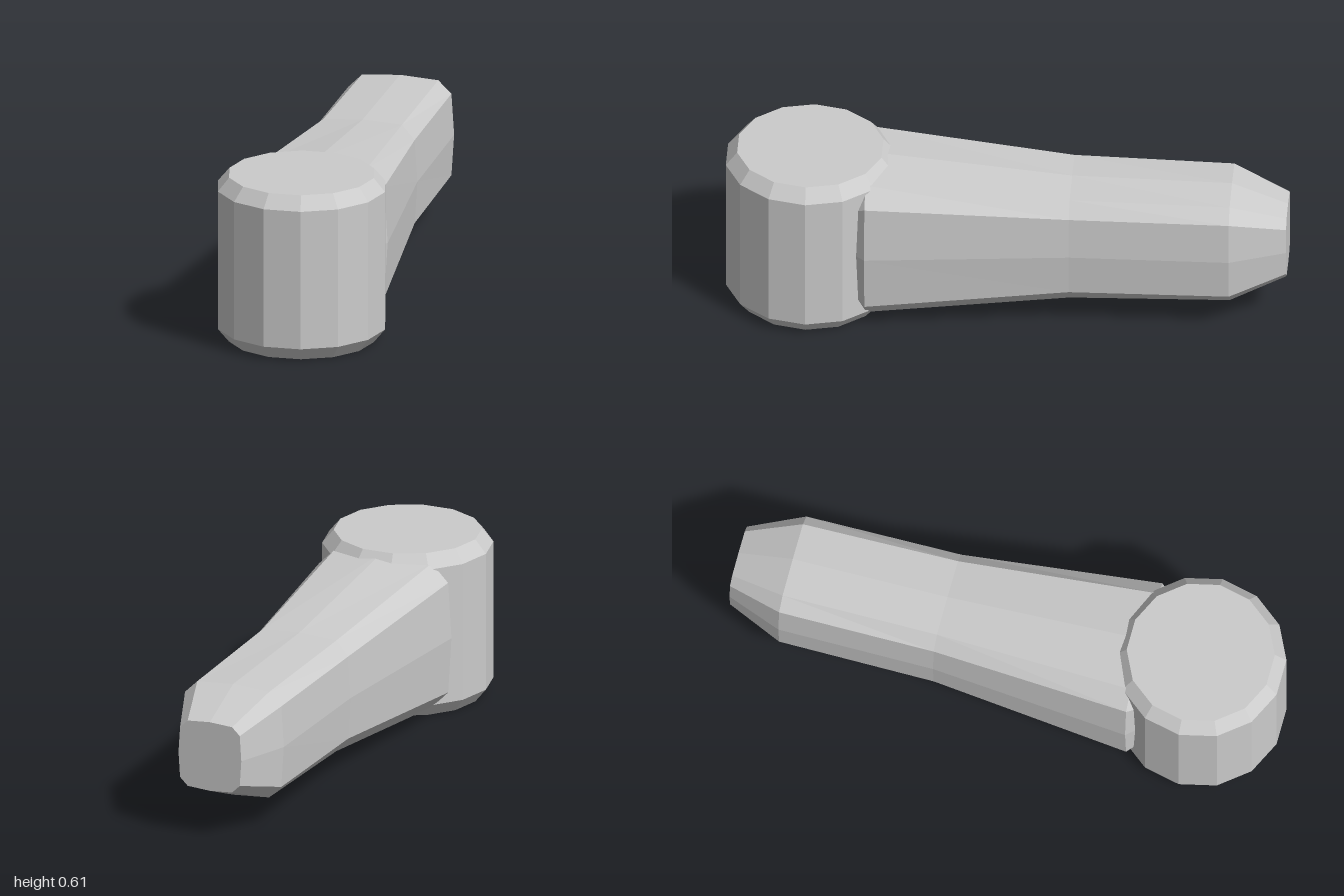
import * as THREE from 'three';

const MID = 0.306; // height of the handle axis
const material = new THREE.MeshStandardMaterial({ color: 0xcccccc, flatShading: true });

// Twelve-sided ring: bulged sides with chamfered corners, mirrored from one quarter
function ring({ z, side, low, high, top }) {
  const quarter = [[side, 0], low, high, [0, top]];
  const right = quarter.concat([[-high[0], high[1]], [-low[0], low[1]]]);
  return right.concat(right.map(([x, y]) => [-x, -y])).map(([x, y]) => [x, MID + y, z]);
}

// Same section, scaled about the axis and moved along z
function scaled(s, k, z) {
  const f = ([x, y]) => [x * k, y * k];
  return { z, side: s.side * k, low: f(s.low), high: f(s.high), top: s.top * k };
}

// Skin rings listed from back to front and close both ends
function loft(rings) {
  const n = rings[0].length;
  const positions = rings.flat(2);
  const index = [];
  for (let r = 0; r < rings.length - 1; r++) {
    for (let i = 0; i < n; i++) {
      const a = r * n + i, b = r * n + (i + 1) % n;
      index.push(a, b, b + n, a, b + n, a + n);
    }
  }
  const last = (rings.length - 1) * n;
  for (let i = 1; i < n - 1; i++) {
    index.push(0, i + 1, i);
    index.push(last, last + i, last + i + 1);
  }
  const geometry = new THREE.BufferGeometry();
  geometry.setAttribute('position', new THREE.Float32BufferAttribute(positions, 3));
  geometry.setIndex(index);
  const flat = geometry.toNonIndexed();
  flat.computeVertexNormals();
  return flat;
}

export function createModel() {
  const group = new THREE.Group();

  // Fourteen-sided head with bevelled rims
  const profile = [[0, 0], [0.264, 0], [0.305, 0.05], [0.305, 0.563], [0.264, 0.612], [0, 0.612]]
    .map(([x, y]) => new THREE.Vector2(x, y));
  const head = new THREE.Mesh(new THREE.LatheGeometry(profile, 14, Math.PI / 2), material);
  head.name = 'head';
  head.position.z = 0.703;
  group.add(head);

  // Handle: tapered tip, straight grip, flare and a narrowed end sunk into the head
  const grip = { z: -0.8, side: 0.198, low: [0.188, 0.152], high: [0.14, 0.199], top: 0.209 };
  const waist = { z: -0.23, side: 0.2, low: [0.19, 0.155], high: [0.144, 0.209], top: 0.218 };
  const flare = { z: 0.495, side: 0.265, low: [0.252, 0.207], high: [0.188, 0.272], top: 0.29 };
  const sections = [scaled(grip, 0.62, -1), grip, waist, flare, scaled(flare, 0.75, 0.57)];
  const handle = new THREE.Mesh(loft(sections.map(ring)), material);
  handle.name = 'handle';
  group.add(handle);

  return group;
}
